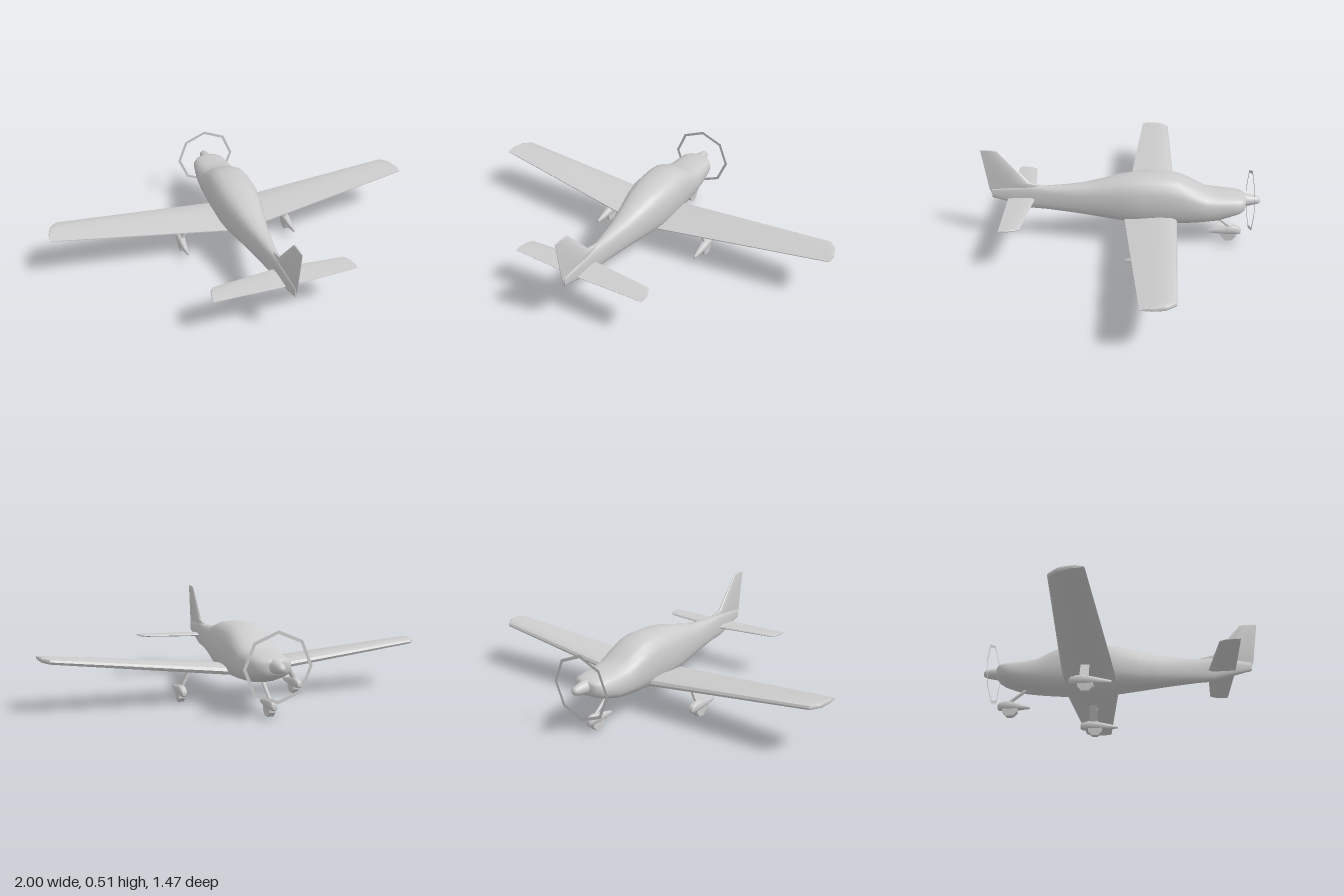
import * as THREE from 'three';
import { toCreasedNormals } from 'three/addons/utils/BufferGeometryUtils.js';

const material = new THREE.MeshStandardMaterial({ color: 0xcccccc, side: THREE.DoubleSide });

function part(name, geometry, parent) {
  const mesh = new THREE.Mesh(geometry, material);
  mesh.name = name;
  parent.add(mesh);
  return mesh;
}

// Skin over a row of closed sections (arrays of Vector3), both ends capped.
function loft(rings, crease = 0.6) {
  const n = rings[0].length;
  const pos = [];
  let volume = 0;
  const tri = (a, b, c) => {
    volume += a.dot(b.clone().cross(c));
    pos.push([a, b, c]);
  };
  for (let i = 0; i < rings.length - 1; i++) {
    for (let j = 0; j < n; j++) {
      const k = (j + 1) % n;
      tri(rings[i][j], rings[i][k], rings[i + 1][k]);
      tri(rings[i][j], rings[i + 1][k], rings[i + 1][j]);
    }
  }
  const cap = (ring, flip) => {
    const mid = ring.reduce((s, p) => s.add(p), new THREE.Vector3()).divideScalar(n);
    for (let j = 0; j < n; j++) {
      const a = ring[j], b = ring[(j + 1) % n];
      flip ? tri(mid, b, a) : tri(mid, a, b);
    }
  };
  cap(rings[0], true);
  cap(rings[rings.length - 1], false);
  // Keep every face pointing outwards
  const points = pos.flatMap(([a, b, c]) => (volume < 0 ? [a, c, b] : [a, b, c]));
  return toCreasedNormals(new THREE.BufferGeometry().setFromPoints(points), crease);
}

// Rounded-box section across z; power below 1 squares it off.
function bodyRing(z, bottom, top, half, x = 0, power = 0.72, n = 20) {
  const soft = (v) => Math.sign(v) * Math.pow(Math.abs(v), power);
  return Array.from({ length: n }, (_, i) => {
    const a = (i / n) * Math.PI * 2;
    return new THREE.Vector3(
      x + half * soft(Math.cos(a)),
      (top + bottom) / 2 + ((top - bottom) / 2) * soft(Math.sin(a)), z);
  });
}

// Aerofoil outline: [fraction of chord, fraction of thickness]
const FOIL = [[0, 0], [0.03, 0.3], [0.12, 0.5], [0.35, 0.55], [0.7, 0.3], [1, 0.06],
  [1, -0.06], [0.7, -0.25], [0.35, -0.42], [0.12, -0.42], [0.03, -0.28]];

// Aerofoil at span x, running from zFront to zBack
const foilRing = (x, y, zFront, zBack, t) =>
  FOIL.map(([c, h]) => new THREE.Vector3(x, y + h * t, zFront + c * (zBack - zFront)));

// Aerofoil standing upright at height y
const finRing = (y, zFront, zBack, t) =>
  FOIL.map(([c, h]) => new THREE.Vector3(h * t, y, zFront + c * (zBack - zFront)));

// Faired wheel: teardrop fairing and a faceted tyre
function wheelUnit(name, x, z, length, parent) {
  const group = new THREE.Group();
  group.name = name;
  group.position.set(x, 0, z);
  parent.add(group);
  // fraction of length, bottom, top, half width
  const rows = [[0, 0.042, 0.066, 0.009], [0.04, 0.036, 0.077, 0.016], [0.22, 0.034, 0.087, 0.021],
    [0.42, 0.034, 0.084, 0.021], [0.7, 0.037, 0.071, 0.015], [1, 0.042, 0.058, 0.004]];
  part('wheelFairing', loft(rows.map(([f, b, t, w]) =>
    bodyRing(-0.39 * length + f * length, b, t, w, 0, 0.8, 12)), 0.8), group);
  const tyre = new THREE.CylinderGeometry(0.042, 0.042, 0.03, 8);
  tyre.rotateY(Math.PI / 8).rotateZ(Math.PI / 2);
  part('tyre', toCreasedNormals(tyre, 0.5), group).position.y = 0.039;
}

export function createModel() {
  const plane = new THREE.Group();
  plane.name = 'lightAircraft';

  // Fuselage stations: z, bottom, top, half width
  const stations = [
    [-0.655, 0.215, 0.272, 0.04], [-0.645, 0.2, 0.278, 0.068], [-0.62, 0.186, 0.284, 0.09],
    [-0.58, 0.17, 0.289, 0.097], [-0.51, 0.146, 0.296, 0.104], [-0.44, 0.137, 0.306, 0.109],
    [-0.40, 0.132, 0.327, 0.112], [-0.36, 0.128, 0.35, 0.115], [-0.3, 0.123, 0.378, 0.118],
    [-0.23, 0.122, 0.39, 0.119], [-0.1, 0.125, 0.389, 0.117], [0, 0.131, 0.375, 0.102],
    [0.1, 0.142, 0.349, 0.08], [0.2, 0.154, 0.326, 0.06], [0.3, 0.165, 0.315, 0.043],
    [0.4, 0.175, 0.308, 0.029], [0.49, 0.18, 0.312, 0.021], [0.6, 0.212, 0.3, 0.014],
    [0.69, 0.238, 0.285, 0.005]];
  part('fuselage', loft(stations.map((s) => bodyRing(...s)), 0.9), plane);

  // Spinner
  const profile = [[0.036, 0], [0.031, 0.03], [0.024, 0.065], [0.019, 0.082], [0.01, 0.09], [0, 0.092]]
    .map(([r, h]) => new THREE.Vector2(r, h));
  const spinner = part('spinner', new THREE.LatheGeometry(profile, 16), plane);
  spinner.rotation.x = -Math.PI / 2;
  spinner.position.set(0, 0.245, -0.64);

  // Thin octagonal ring marking the propeller sweep
  part('propellerRing', new THREE.RingGeometry(0.152, 0.168, 8), plane).position.set(0, 0.245, -0.68);

  // Wings and tailplane, mirrored
  for (const side of [1, -1]) {
    const name = side > 0 ? 'left' : 'right';
    part(name + 'Wing', loft([
      foilRing(0, 0.152, -0.297, -0.008, 0.052),
      foilRing(side * 0.12, 0.165, -0.293, -0.02, 0.05),
      foilRing(side * 0.95, 0.254, -0.265, -0.1, 0.032),
      foilRing(side * 0.985, 0.257, -0.225, -0.103, 0.025),
      foilRing(side * 1.0, 0.259, -0.165, -0.106, 0.014)]), plane);
    part(name + 'Tailplane', loft([
      foilRing(0, 0.236, 0.46, 0.604, 0.018),
      foilRing(side * 0.34, 0.24, 0.494, 0.597, 0.012),
      foilRing(side * 0.357, 0.24, 0.52, 0.596, 0.009),
      foilRing(side * 0.366, 0.24, 0.56, 0.595, 0.006)]), plane);

    // Main gear
    wheelUnit(name + 'Wheel', side * 0.31, -0.157, 0.208, plane);
    const legRing = (x, y, w) => [[-1, -1], [1, -1], [1, 1], [-1, 1]].map(([a, b]) =>
      new THREE.Vector3(side * (x + a * 0.007), y, -0.165 + b * w));
    part(name + 'GearLeg', loft([legRing(0.262, 0.165, 0.021), legRing(0.308, 0.075, 0.023)], 0.3), plane);
  }

  // Fin with a long leading-edge fillet
  part('fin', loft([
    finRing(0.232, 0.46, 0.682, 0.02), finRing(0.29, 0.4, 0.703, 0.024),
    finRing(0.313, 0.42, 0.706, 0.024), finRing(0.33, 0.49, 0.708, 0.022),
    finRing(0.505, 0.642, 0.733, 0.01), finRing(0.51, 0.66, 0.734, 0.006)]), plane);

  // Nose gear
  wheelUnit('noseWheel', 0, -0.577, 0.17, plane);
  const noseLeg = new THREE.TubeGeometry(new THREE.LineCurve3(
    new THREE.Vector3(0, 0.165, -0.475), new THREE.Vector3(0, 0.075, -0.59)), 1, 0.009, 8);
  part('noseGearLeg', noseLeg, plane);

  return plane;
}
